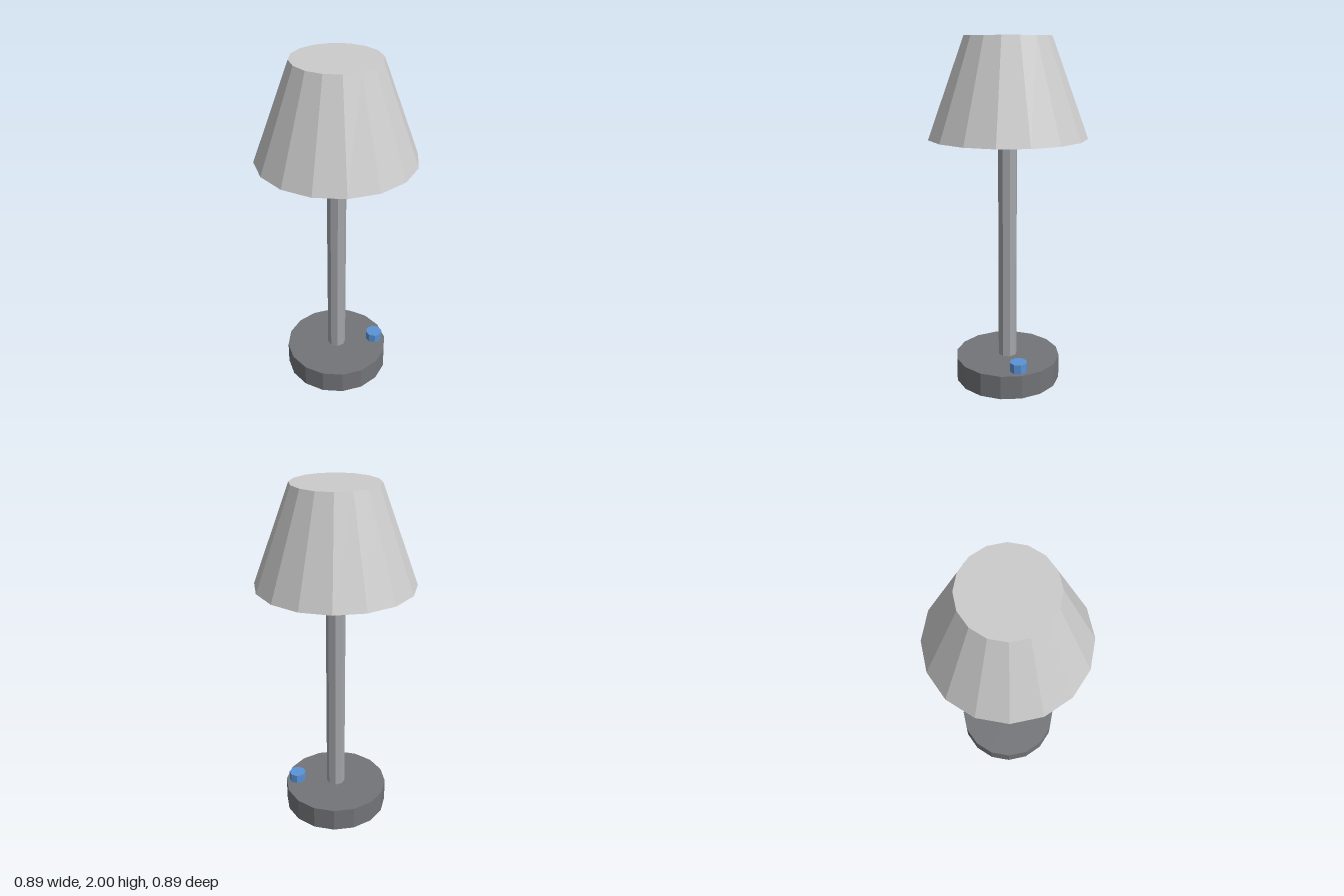
import * as THREE from 'three';

const paint = (color) => new THREE.MeshStandardMaterial({ color, flatShading: true });

// Upright faceted cylinder or cone frustum standing between y0 and y1
function frustum(name, rTop, rBottom, y0, y1, sides, color, x = 0, z = 0) {
  const mesh = new THREE.Mesh(
    new THREE.CylinderGeometry(rTop, rBottom, y1 - y0, sides),
    paint(color)
  );
  mesh.name = name;
  mesh.position.set(x, (y0 + y1) / 2, z);
  return mesh;
}

export function createModel() {
  const lamp = new THREE.Group();
  lamp.name = 'tableLamp';

  // Heavy round foot and slim pole
  lamp.add(frustum('base', 0.31, 0.31, 0, 0.14, 16, 0x737478));
  lamp.add(frustum('pole', 0.055, 0.055, 0.14, 1.46, 8, 0xa4a6aa));

  // Switch knob near the back left rim of the foot
  lamp.add(frustum('switchKnob', 0.05, 0.05, 0.14, 0.195, 8, 0x5b93d6, 0.17, -0.17));

  // Bulb peeking out under the shade
  const bulb = new THREE.Mesh(new THREE.SphereGeometry(0.15, 10, 6), paint(0xb8a04a));
  bulb.name = 'bulb';
  bulb.position.y = 1.555;
  lamp.add(bulb);

  // Closed tapered shade
  lamp.add(frustum('shade', 0.242, 0.447, 1.45, 2, 16, 0xcccccc));

  return lamp;
}
